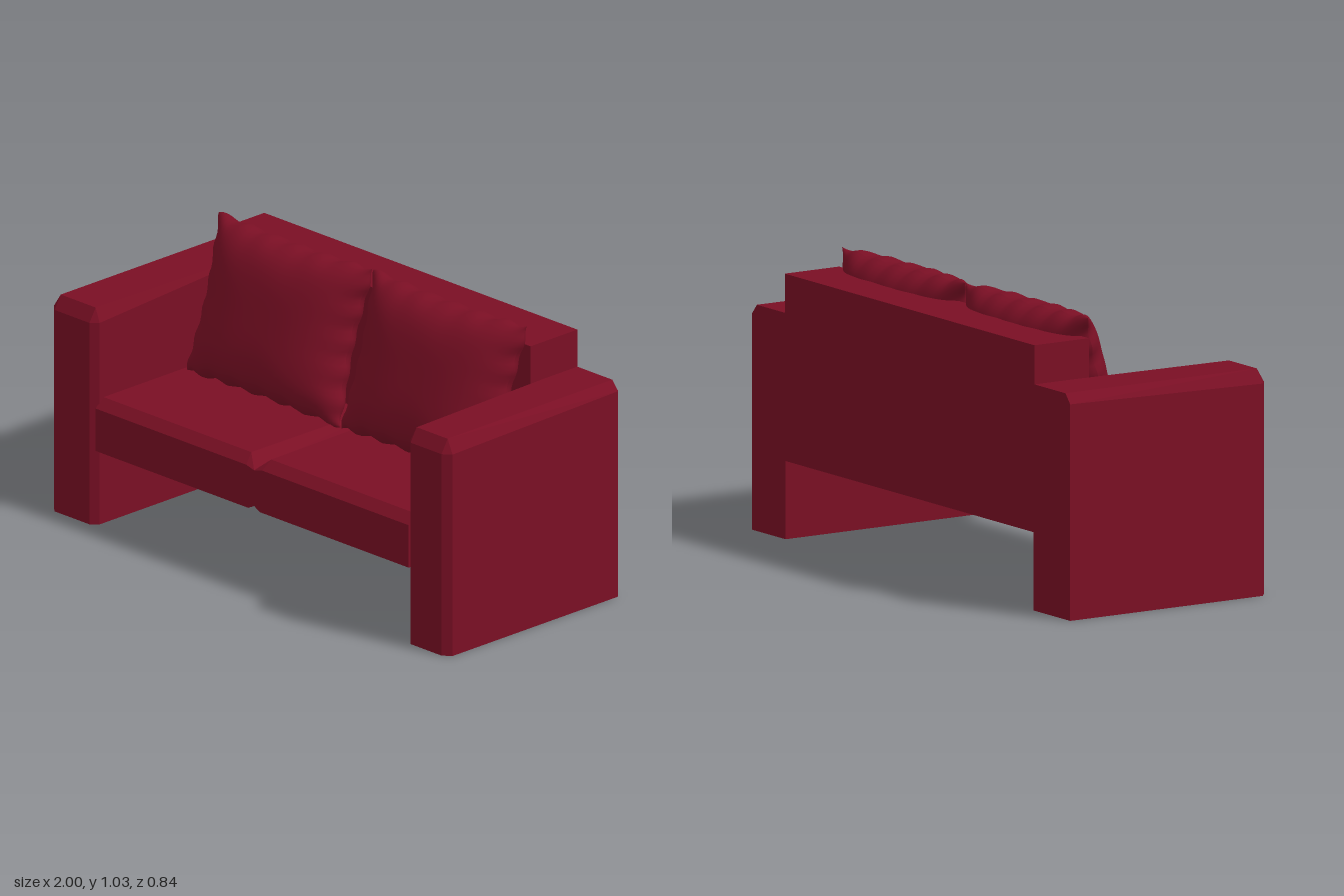
import * as THREE from 'three';
import { ConvexGeometry } from 'three/addons/geometries/ConvexGeometry.js';

export function createModel() {
  const sofa = new THREE.Group();
  sofa.name = 'sofa';
  const fabric = new THREE.MeshStandardMaterial({ color: 0x7a0f24 });
  fabric.name = 'dark red fabric';

  const add = (name, geometry, parent = sofa) => {
    const mesh = new THREE.Mesh(geometry, fabric);
    mesh.name = name;
    parent.add(mesh);
    return mesh;
  };
  const hull = (points) => new ConvexGeometry(points.map((p) => new THREE.Vector3(...p)));

  // Slab arm reaching the floor, chamfered on the front and along the top
  const arm = (inner, outer) => {
    const s = Math.sign(outer);
    const [i, o, ci, co] = [inner, outer, inner + s * 0.025, outer - s * 0.03];
    const points = [];
    for (const [y, yo] of [[0, 0], [0.76, 0.775]]) {
      points.push([i, y, -0.42], [o, yo, -0.42], [i, y, 0.395], [o, y, 0.395], [ci, y, 0.42], [co, y, 0.42]);
    }
    points.push([i, 0.81, -0.42], [co, 0.81, -0.42], [ci, 0.81, 0.39], [co, 0.81, 0.39]);
    return hull(points);
  };
  add('leftArm', arm(0.79, 1));
  add('rightArm', arm(-0.77, -1));

  // Backrest
  const back = add('backrest', new THREE.BoxGeometry(1.57, 0.67, 0.23));
  back.position.set(0.01, 0.615, -0.305);

  // Seat cushions with bevelled front and middle edges
  const seat = (seam, side) => {
    const s = Math.sign(side - seam);
    const points = [];
    for (const z of [-0.4, 0.41]) {
      const top = z > 0 ? 0.44 : 0.475;
      points.push([side, 0.28, z], [side, top, z], [seam + s * 0.03, 0.28, z]);
      points.push([seam, 0.295, z], [seam, 0.43, z], [seam + s * 0.04, top, z]);
    }
    points.push([side, 0.475, 0.375], [seam + s * 0.05, 0.475, 0.375]);
    return hull(points);
  };
  add('leftSeatCushion', seat(0.02, 0.795));
  add('rightSeatCushion', seat(0.02, -0.775));

  // Plump square pillow: two bulging faces meeting in a slightly ruffled seam
  const pillowFace = (sign) => {
    const g = new THREE.PlaneGeometry(2, 2, 36, 36);
    if (sign < 0) g.rotateY(Math.PI);
    const pos = g.attributes.position;
    for (let k = 0; k < pos.count; k++) {
      const u = Math.sin(pos.getX(k) * Math.PI / 2);
      const v = Math.sin(pos.getY(k) * Math.PI / 2);
      const edge = Math.max(Math.abs(u), Math.abs(v)) ** 8;
      const ruffle = 0.007 * edge;
      const x = u * (0.385 - 0.035 * (1 - v * v)) + ruffle * Math.sin(v * 17 + 1);
      const y = v * (0.288 - 0.012 * (1 - u * u)) + ruffle * Math.sin(u * 19);
      const bulge = Math.max(0, 1 - Math.abs(u) ** 3) ** 0.6 * Math.max(0, 1 - Math.abs(v) ** 4) ** 0.5;
      const crease = 1 + 0.05 * Math.sin(u * 9 + v * 3) * Math.abs(v) ** 3;
      pos.setXYZ(k, x, y, sign * 0.13 * bulge * crease);
    }
    g.computeVertexNormals();
    return g;
  };
  for (const [name, x] of [['leftPillow', 0.4], ['rightPillow', -0.375]]) {
    const pillow = new THREE.Group();
    pillow.name = name;
    add('pillowFront', pillowFace(1), pillow);
    add('pillowBack', pillowFace(-1), pillow);
    pillow.position.set(x, 0.745, -0.105);
    pillow.rotation.x = -0.29;
    sofa.add(pillow);
  }
  return sofa;
}
